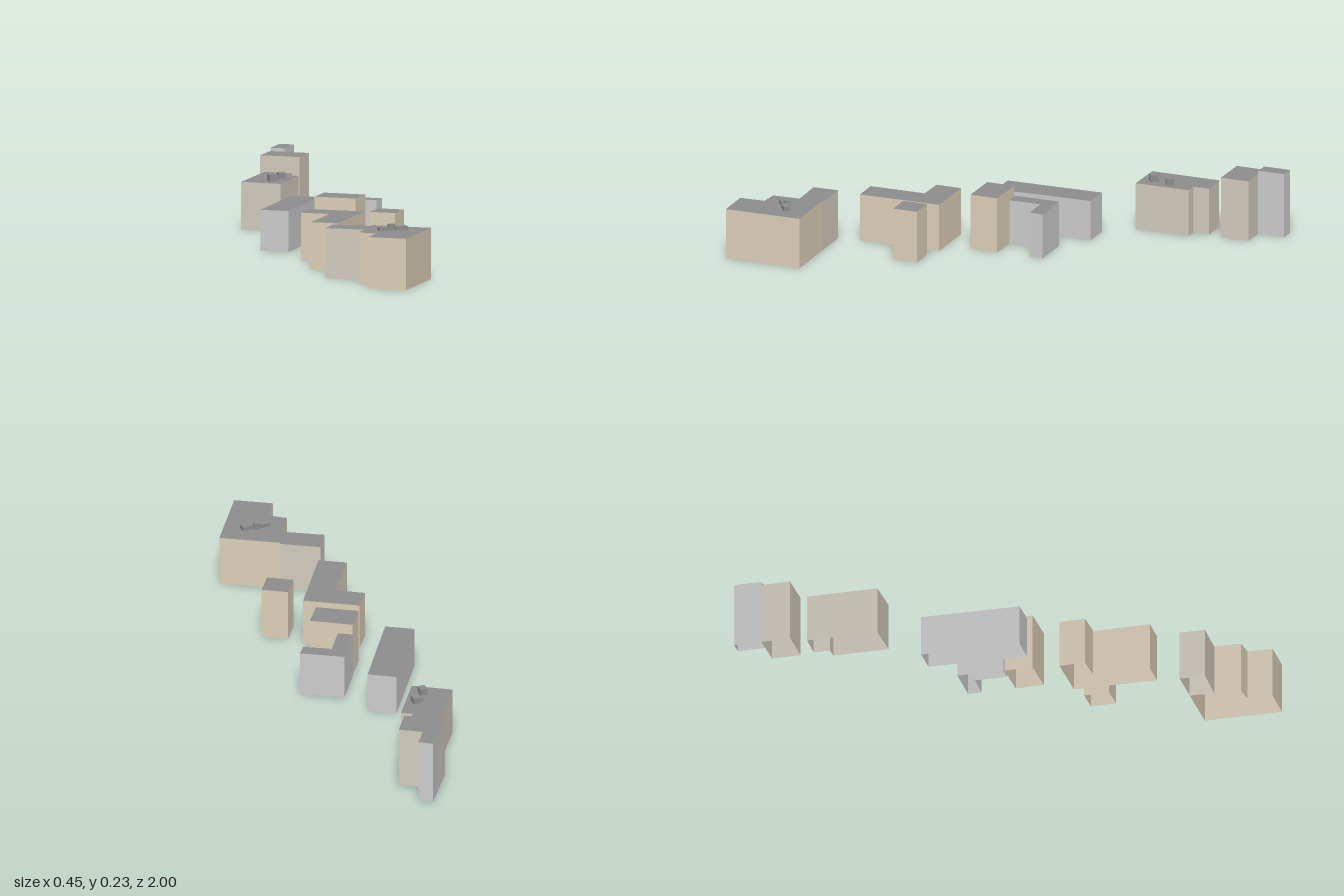
import * as THREE from 'three';

const wallMaterial = (color) =>
  new THREE.MeshStandardMaterial({ color, flatShading: true, side: THREE.DoubleSide });
const GREY = wallMaterial(0xcccccc);
const PALE = wallMaterial(0xd2cabd);
const TAN = wallMaterial(0xdccfb8);
const ROOF = wallMaterial(0x8c8c8c);

// Footprints are [x, z] corners running back, right, front, left.
const BUILDINGS = [
  { name: 'rearTower', height: 0.232, material: GREY,
    plan: [[0.11, -1], [0.153, -0.97], [0.097, -0.888], [0.053, -0.918]] },
  { name: 'rearBlock', height: 0.22, material: PALE,
    plan: [[0.053, -0.918], [0.171, -0.838], [0.112, -0.752], [-0.008, -0.833]] },
  { name: 'notchedBlock', height: 0.17, material: PALE,
    plan: [[-0.01, -0.77], [0.075, -0.717], [0.043, -0.667], [0.078, -0.643], [-0.035, -0.477], [-0.155, -0.56]] },
  { name: 'longBlock', height: 0.145, material: GREY,
    plan: [[-0.03, -0.355], [0.056, -0.298], [-0.14, 0], [-0.227, -0.058]] },
  { name: 'hookBlock', height: 0.163, material: GREY,
    plan: [[0.093, -0.178], [0.225, -0.092], [0.195, -0.053], [0.11, -0.107], [0.045, -0.01], [0, -0.04]] },
  { name: 'middleBlock', height: 0.2, material: TAN,
    plan: [[0, -0.036], [0.126, 0.05], [0.066, 0.133], [-0.06, 0.048]] },
  { name: 'cornerBlock', height: 0.17, material: TAN,
    plan: [[-0.1, 0.134], [0.067, 0.245], [-0.1, 0.495], [-0.185, 0.44], [-0.068, 0.27], [-0.155, 0.21]] },
  { name: 'smallBlock', height: 0.187, material: TAN,
    plan: [[0.103, 0.295], [0.181, 0.347], [0.128, 0.422], [0.05, 0.37]] },
  { name: 'frontWing', height: 0.178, material: PALE,
    plan: [[-0.138, 0.566], [-0.018, 0.645], [-0.062, 0.722], [-0.188, 0.643]] },
  { name: 'frontBlock', height: 0.182, material: TAN,
    plan: [[-0.018, 0.645], [0.162, 0.763], [0.005, 0.995], [-0.11, 0.92], [-0.06, 0.845], [-0.113, 0.802], [-0.062, 0.722]] },
];

// Rooftop units: centre x, centre z, width, depth, roof height, top height.
const ROOF_UNITS = [
  [-0.047, -0.545, 0.026, 0.03, 0.17, 0.195],
  [0.001, -0.592, 0.024, 0.028, 0.17, 0.193],
  [-0.019, -0.592, 0.014, 0.014, 0.17, 0.185],
  [-0.018, 0.783, 0.034, 0.028, 0.182, 0.195],
  [0.014, 0.776, 0.022, 0.018, 0.182, 0.204],
  [0.046, 0.787, 0.042, 0.026, 0.182, 0.197],
];

// Upright walls around a footprint, open at the bottom.
function wallGeometry(plan, height) {
  const positions = [];
  plan.forEach(([ax, az], i) => {
    const [bx, bz] = plan[(i + 1) % plan.length];
    positions.push(bx, 0, bz, ax, 0, az, ax, height, az);
    positions.push(bx, 0, bz, ax, height, az, bx, height, bz);
  });
  const geometry = new THREE.BufferGeometry();
  geometry.setAttribute('position', new THREE.Float32BufferAttribute(positions, 3));
  geometry.computeVertexNormals();
  return geometry;
}

function flatRoofGeometry(plan, height) {
  const shape = new THREE.Shape(plan.map(([x, z]) => new THREE.Vector2(x, -z)));
  return new THREE.ShapeGeometry(shape).rotateX(-Math.PI / 2).translate(0, height, 0);
}

function addMesh(parent, name, geometry, material) {
  const mesh = new THREE.Mesh(geometry, material);
  mesh.name = name;
  parent.add(mesh);
  return mesh;
}

export function createModel() {
  const model = new THREE.Group();
  model.name = 'buildingRow';

  for (const { name, height, material, plan } of BUILDINGS) {
    const building = new THREE.Group();
    building.name = name;
    addMesh(building, 'walls', wallGeometry(plan, height), material);
    addMesh(building, 'roof', flatRoofGeometry(plan, height), ROOF);
    model.add(building);
  }

  for (const [x, z, width, depth, base, top] of ROOF_UNITS) {
    const unit = addMesh(model, 'roofUnit', new THREE.BoxGeometry(width, top - base, depth), ROOF);
    unit.position.set(x, (base + top) / 2, z);
  }
  return model;
}
